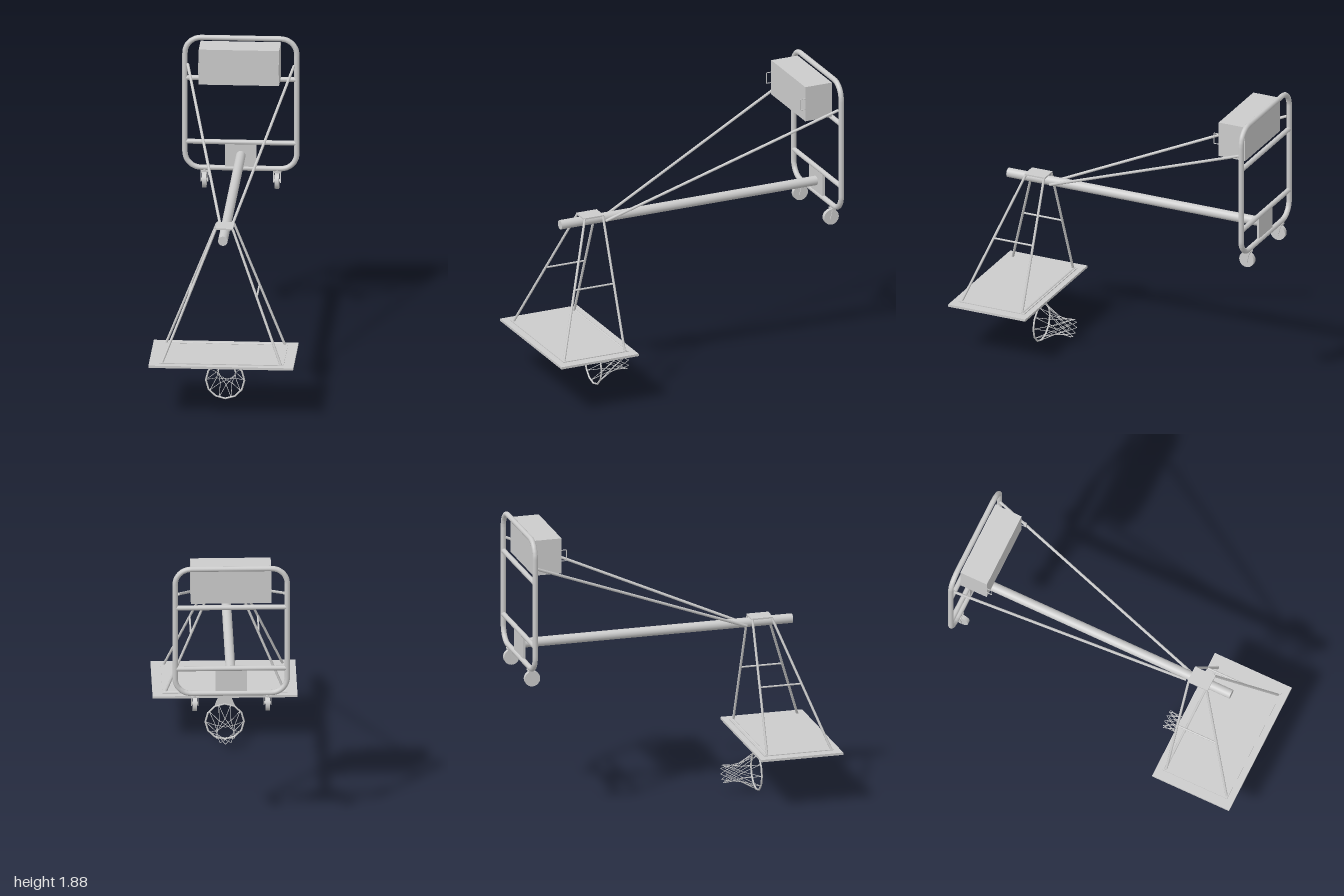
import * as THREE from 'three';

const mat = new THREE.MeshStandardMaterial({ color: 0xcccccc });
const matDouble = new THREE.MeshStandardMaterial({ color: 0xcccccc, side: THREE.DoubleSide });
const V = (x, y, z) => new THREE.Vector3(x, y, z);

function add(parent, name, geometry, x = 0, y = 0, z = 0, material = mat) {
  const mesh = new THREE.Mesh(geometry, material);
  mesh.name = name;
  mesh.position.set(x, y, z);
  parent.add(mesh);
  return mesh;
}

function box(parent, name, w, h, d, x, y, z) {
  return add(parent, name, new THREE.BoxGeometry(w, h, d), x, y, z);
}

// Round bar between two points
function rod(parent, name, a, b, r, sides = 10) {
  const dir = b.clone().sub(a);
  const mesh = add(parent, name, new THREE.CylinderGeometry(r, r, dir.length(), sides));
  mesh.position.copy(a).lerp(b, 0.5);
  mesh.quaternion.setFromUnitVectors(V(0, 1, 0), dir.normalize());
  return mesh;
}

function group(parent, name) {
  const g = new THREE.Group();
  g.name = name;
  parent.add(g);
  return g;
}

// Flat rectangular ring lying in the xz plane, from y0 up to y1
function rectRing(parent, name, [x, z0, z1], [ix, iz0, iz1], y0, y1) {
  const rect = (T, hx, a, b) => {
    const p = new T();
    p.moveTo(-hx, -a);
    p.lineTo(hx, -a);
    p.lineTo(hx, -b);
    p.lineTo(-hx, -b);
    p.closePath();
    return p;
  };
  const shape = rect(THREE.Shape, x, z0, z1);
  shape.holes.push(rect(THREE.Path, ix, iz0, iz1));
  const geo = new THREE.ExtrudeGeometry(shape, { depth: y1 - y0, bevelEnabled: false });
  geo.rotateX(-Math.PI / 2);
  return add(parent, name, geo, 0, y0, 0);
}

function buildBase(root) {
  const base = group(root, 'baseFrame');
  const z = -0.965, hx = 0.348, y0 = 1.022, y1 = 1.868, c = 0.1;
  // Rounded rectangular loop
  const corners = [[hx - c, y1 - c, 0], [c - hx, y1 - c, 1], [c - hx, y0 + c, 2], [hx - c, y0 + c, 3]];
  const pts = [];
  for (const [cx, cy, q] of corners) {
    for (let i = 0; i <= 8; i++) {
      const a = (q + i / 8) * Math.PI / 2;
      pts.push(V(cx + c * Math.cos(a), cy + c * Math.sin(a), z));
    }
  }
  const loop = new THREE.CurvePath();
  pts.forEach((p, i) => loop.add(new THREE.LineCurve3(p, pts[(i + 1) % pts.length])));
  add(base, 'frameLoop', new THREE.TubeGeometry(loop, 240, 0.017, 12, true));
  for (const y of [1.605, 1.19]) rod(base, 'crossBar', V(-hx, y, z), V(hx, y, z), 0.016, 12);
  box(base, 'polePlate', 0.195, 0.15, 0.016, 0, 1.106, -0.962);

  // Casters
  for (const s of [-1, 1]) {
    const caster = group(base, 'caster');
    const x = s * 0.226;
    const wheel = add(caster, 'wheel', new THREE.CylinderGeometry(0.05, 0.05, 0.026, 24), x, 0.948, -0.95);
    wheel.rotation.z = Math.PI / 2;
    rod(caster, 'axle', V(x - 0.024, 0.948, -0.95), V(x + 0.024, 0.948, -0.95), 0.01);
    rod(caster, 'stem', V(x, 1.03, -0.965), V(x, 0.995, -0.962), 0.014);
    box(caster, 'forkTop', 0.05, 0.008, 0.032, x, 1.002, -0.962);
    for (const t of [-1, 1]) {
      const leg = box(caster, 'forkLeg', 0.006, 0.07, 0.022, x + t * 0.021, 0.97, -0.956);
      leg.rotation.x = -0.25;
    }
  }
}

function buildWeight(root) {
  const weight = group(root, 'counterweight');
  box(weight, 'weightBox', 0.5, 0.228, 0.182, 0, 1.738, -0.856);
  for (const s of [-1, 1]) {
    const x = s * 0.248;
    const path = [V(x, 1.703, -0.766), V(x, 1.703, -0.732), V(x, 1.773, -0.732), V(x, 1.773, -0.766)];
    for (let i = 0; i < 3; i++) rod(weight, 'handle', path[i], path[i + 1], 0.003, 6);
  }
}

function buildPole(root) {
  const pole = group(root, 'mast');
  rod(pole, 'pole', V(0, 1.107, -0.96), V(0, 1.107, 0.8), 0.03, 24);
  box(pole, 'topBracket', 0.11, 0.01, 0.14, 0, 1.14, 0.593);
  for (const s of [-1, 1]) {
    rod(pole, 'brace', V(s * 0.33, 1.695, -0.955), V(s * 0.03, 1.092, 0.5), 0.009);
    // Struts carrying the board
    const rear = [V(s * 0.053, 1.138, 0.53), V(s * 0.37, 0.352, 0.53)];
    const front = [V(s * 0.053, 1.138, 0.655), V(s * 0.37, 0.352, 0.945)];
    rod(pole, 'rearStrut', ...rear, 0.008);
    rod(pole, 'frontStrut', ...front, 0.008);
    rod(pole, 'strutTie', rear[0].clone().lerp(rear[1], 0.5), front[0].clone().lerp(front[1], 0.5), 0.006);
  }
}

function buildBoard(root) {
  const board = group(root, 'backboard');
  box(board, 'panel', 0.88, 0.008, 0.51, 0, 0.347, 0.735);
  rectRing(board, 'rim', [0.45, 0.47, 1], [0.435, 0.485, 0.985], 0.336, 0.351);
  rectRing(board, 'rearFrame', [0.388, 0.507, 0.957], [0.35, 0.545, 0.918], 0.35, 0.356);
  rod(board, 'rearFrameBar', V(-0.38, 0.354, 0.525), V(0.38, 0.354, 0.525), 0.008);
  rectRing(board, 'targetRectangle', [0.13, 0.59, 0.79], [0.118, 0.602, 0.778], 0.341, 0.344);
}

function buildHoop(root) {
  const hoop = group(root, 'hoop');
  const cy = 0.13, R = 0.12;
  add(hoop, 'ring', new THREE.TorusGeometry(R, 0.006, 8, 12), 0, cy, 0.571);

  // Mounting plate and flared neck
  box(hoop, 'mountPlate', 0.08, 0.012, 0.07, 0, 0.336, 0.541);
  const neck = new THREE.Shape();
  neck.moveTo(-0.035, 0.335);
  neck.lineTo(-0.045, 0.285);
  neck.lineTo(-0.066, 0.232);
  neck.absarc(0, cy, R, Math.PI - 0.99, 0.99, true);
  neck.lineTo(0.045, 0.285);
  neck.lineTo(0.035, 0.335);
  add(hoop, 'neck', new THREE.ExtrudeGeometry(neck, { depth: 0.008, bevelEnabled: false, curveSegments: 10 }), 0, 0, 0.568);

  // Net: long strands from the ring, then rows of diamonds
  const net = group(hoop, 'net');
  const n = 10;
  const rows = [[0.568, 0.118], [0.47, 0.062], [0.44, 0.055], [0.411, 0.052], [0.383, 0.054], [0.355, 0.058]];
  const knot = (row, i) => {
    const a = (i + (row % 2) * 0.5) / n * Math.PI * 2;
    return V(Math.cos(a) * rows[row][1], cy + Math.sin(a) * rows[row][1], rows[row][0]);
  };
  for (let row = 0; row < rows.length - 1; row++) {
    const shift = row % 2 ? 1 : -1;
    for (let i = 0; i < n; i++) {
      for (const j of [i, i + shift]) rod(net, 'netCord', knot(row, i), knot(row + 1, j), 0.002, 5);
    }
  }
}

export function createModel() {
  const root = new THREE.Group();
  root.name = 'portableBasketballHoop';
  buildBase(root);
  buildWeight(root);
  buildPole(root);
  buildBoard(root);
  buildHoop(root);
  return root;
}
